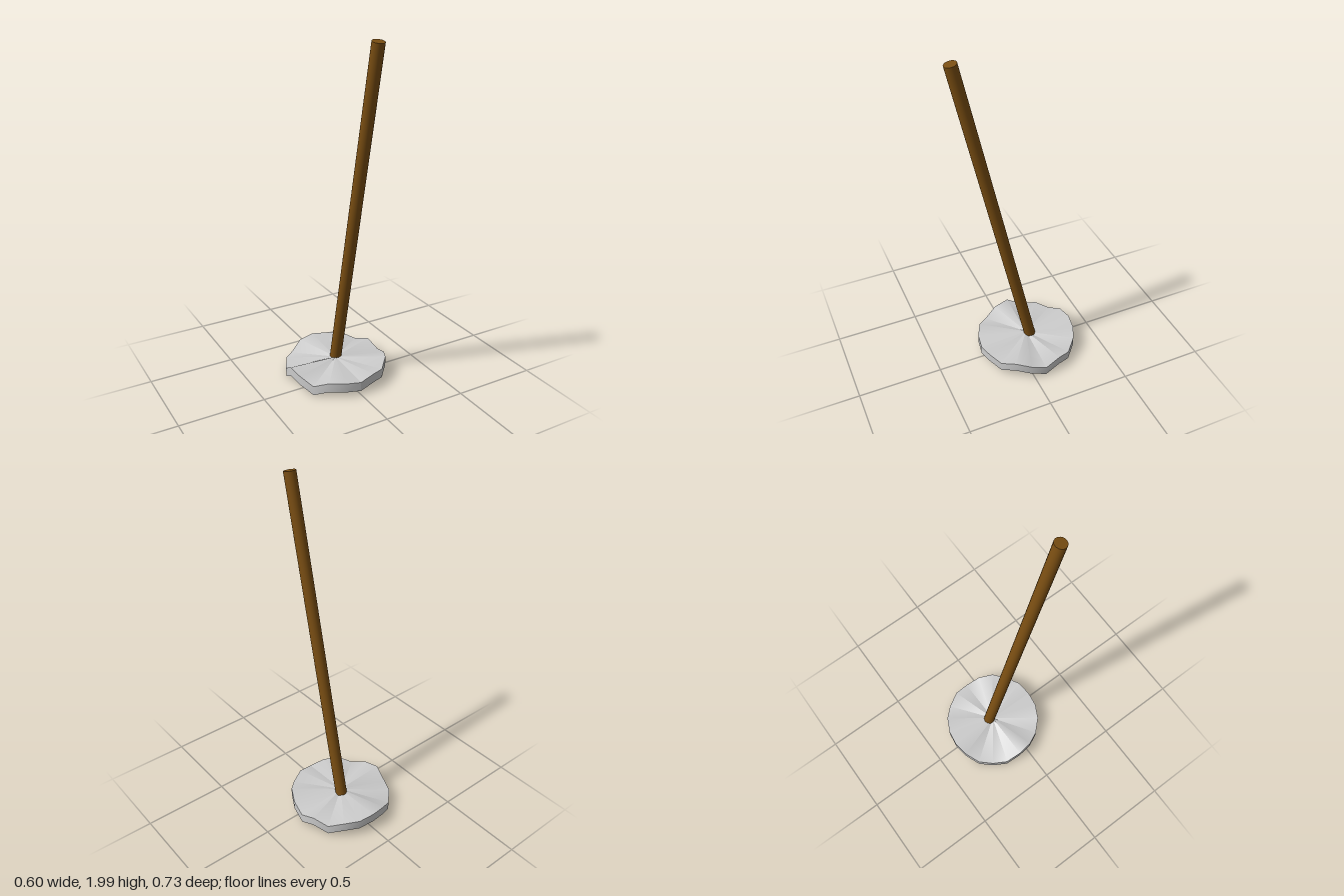
import * as THREE from 'three';

// rim heights of the warped disc, every 18 degrees from the front (+z) towards +x
const RIM = [0.085, 0.105, 0.09, 0.12, 0.1, 0.07, 0.105, 0.075, 0.105, 0.105,
  0.115, 0.105, 0.06, 0.075, 0.06, 0.115, 0.1, 0.065, 0.1, 0.095];
const THICKNESS = 0.055;

// round plate whose rim rises and falls while its centre stays level
function warpedDisc(radius) {
  const n = RIM.length;
  const geo = new THREE.CylinderGeometry(radius, radius, THICKNESS, n);
  const pos = geo.attributes.position;
  for (let i = 0; i < pos.count; i++) {
    const x = pos.getX(i), z = pos.getZ(i);
    const k = (Math.round(Math.atan2(x, z) / (2 * Math.PI) * n) + n) % n;
    const top = Math.hypot(x, z) < 0.01 ? 0.1 : RIM[k];
    pos.setY(i, pos.getY(i) > 0 ? top : top - THICKNESS);
  }
  geo.computeVertexNormals();
  return geo;
}

// straight round pole between two points
function pole(from, to, radius) {
  const dir = to.clone().sub(from);
  const mesh = new THREE.Mesh(
    new THREE.CylinderGeometry(radius, radius, dir.length(), 20),
    new THREE.MeshStandardMaterial({ color: 0x7a4e12 }));
  mesh.position.copy(from).add(to).multiplyScalar(0.5);
  mesh.quaternion.setFromUnitVectors(new THREE.Vector3(0, 1, 0), dir.normalize());
  return mesh;
}

export function createModel() {
  const group = new THREE.Group();

  // uneven base plate
  const base = new THREE.Mesh(warpedDisc(0.298),
    new THREE.MeshStandardMaterial({ color: 0xcccccc }));
  base.name = 'base';
  base.position.z = -0.07;
  group.add(base);

  // leaning wooden stick
  const stick = pole(new THREE.Vector3(0.012, 0.085, -0.092),
    new THREE.Vector3(0.012, 1.992, 0.333), 0.034);
  stick.name = 'stick';
  group.add(stick);

  return group;
}
